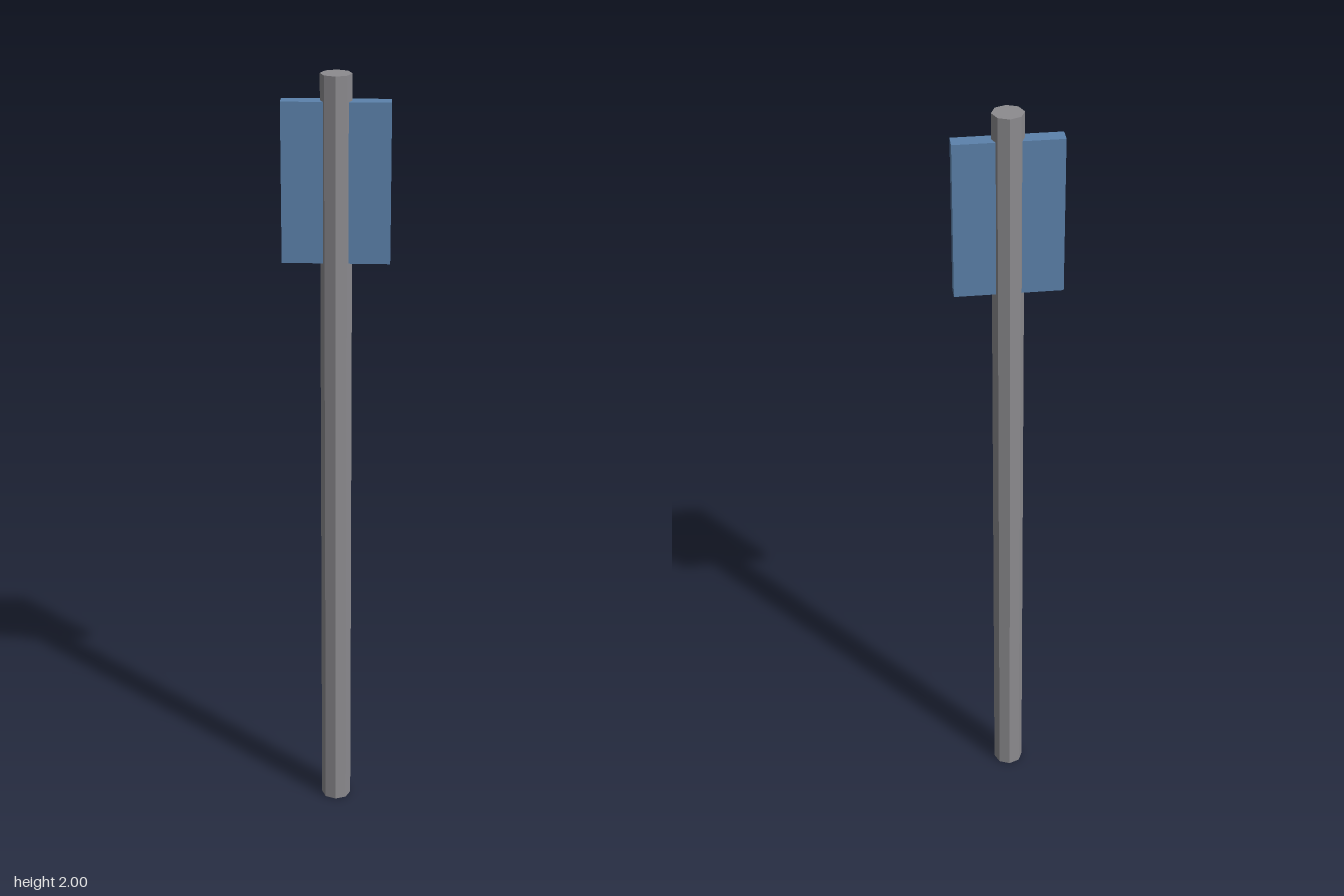
import * as THREE from 'three';

export function createModel() {
  const model = new THREE.Group();
  model.name = 'signPost';

  const poleGrey = new THREE.MeshStandardMaterial({ color: 0x8c8b8f, flatShading: true });
  poleGrey.name = 'poleGrey';
  const panelBlue = new THREE.MeshStandardMaterial({ color: 0x5c82ac, flatShading: true });
  panelBlue.name = 'panelBlue';

  // Octagonal pole with a corner facing the front
  const pole = new THREE.Mesh(new THREE.CylinderGeometry(0.039, 0.039, 2, 8), poleGrey);
  pole.name = 'pole';
  pole.position.y = 1;
  model.add(pole);

  // Flat sign panel running through the pole
  const panel = new THREE.Mesh(new THREE.BoxGeometry(0.266, 0.4, 0.039), panelBlue);
  panel.name = 'signPanel';
  panel.position.y = 1.735;
  model.add(panel);

  return model;
}
